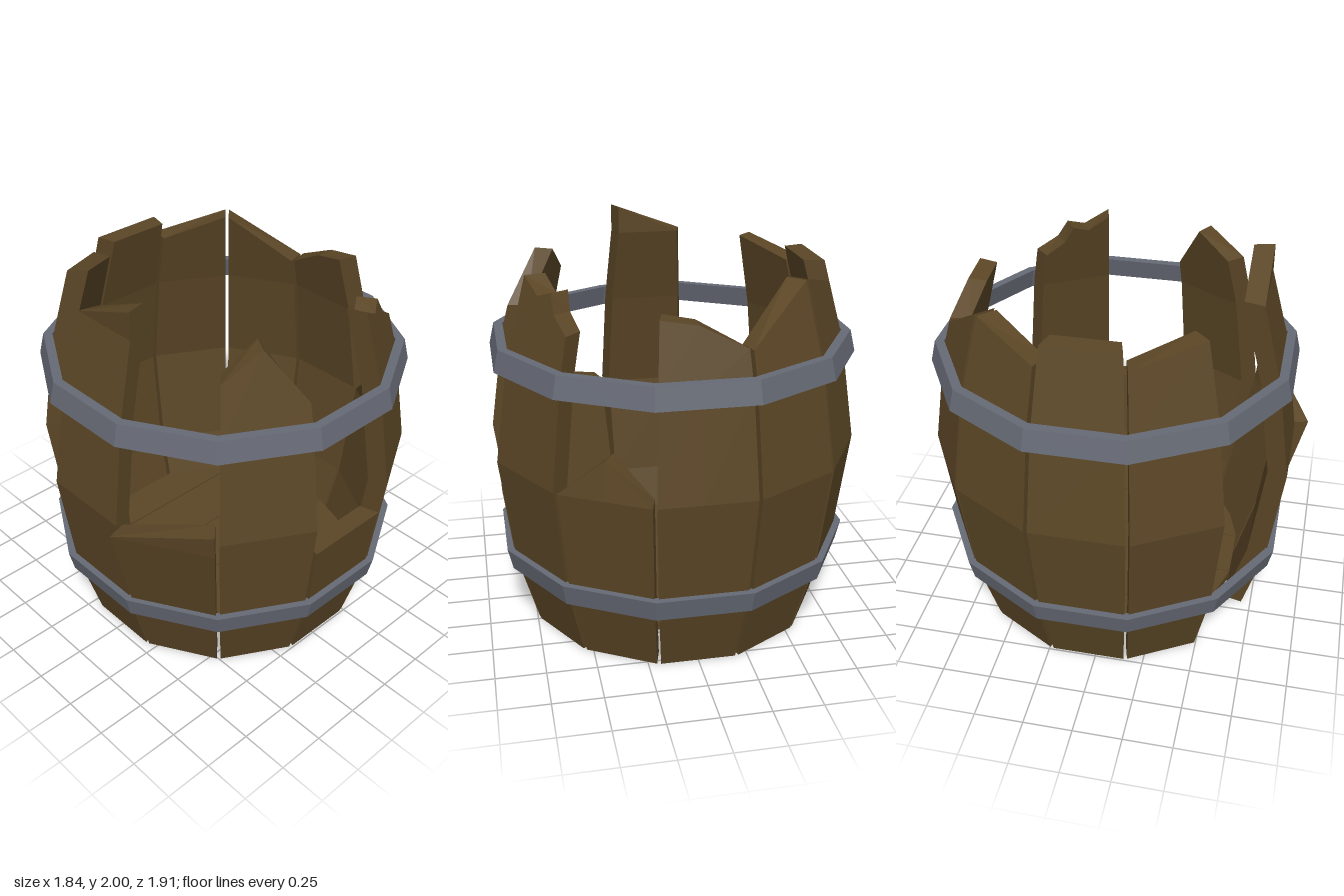
import * as THREE from 'three';

const SIDES = 12;
const STEP = (Math.PI * 2) / SIDES;
const TAN = Math.tan(STEP / 2);
const THICK = 0.1;

// Barrel bulge: [height, distance of the outer face from the axis]
const BULGE = [[0, 0.74], [0.39, 0.85], [0.94, 0.92], [1.46, 0.845], [1.86, 0.74]];
// Stave bent outwards
const BENT = [[0, 0.74], [0.39, 0.85], [0.94, 0.995], [1.07, 1.015]];

// Top edge of each stave as [across -1..1, height]; index 0 faces the front, then towards +x
const TOPS = [
  [[-1, 1.86], [1, 2]],
  [[-1, 0.94], [1, 1.07]],
  [[-1, 1.73], [0, 1.86], [1, 1.6]],
  [[-1, 0.77], [1, 0.77]],
  [[-1, 1.86], [-0.3, 1.79], [0.2, 1.82], [0.45, 1.73], [1, 1.66]],
  [[-1, 0.94], [0, 1.13], [1, 0.94]],
  [[-1, 1.77], [-0.1, 1.74], [1, 1.63]],
  [[-1, 1.62], [1, 1.86]],
  [[-1, 1.86], [1, 1.76]],
  [[-1, 1.86], [1, 1.86]],
  [[-1, 1.78], [1, 1.86]],
  null, // missing stave
];

function radiusAt(profile, y) {
  for (let i = 1; i < profile.length; i++) {
    const [y0, r0] = profile[i - 1], [y1, r1] = profile[i];
    if (y <= y1) return r0 + ((r1 - r0) * (y - y0)) / (y1 - y0);
  }
  return profile[profile.length - 1][1];
}

function flat(geometry) {
  const g = geometry.index ? geometry.toNonIndexed() : geometry;
  g.computeVertexNormals();
  return g;
}

// Curved board with a jagged top, facing +z
function staveGeometry(top, profile) {
  const pos = [];
  const quad = (a, b, c, d) => {
    for (const p of [a, b, c, a, c, d]) pos.push(...p);
  };
  const rows = profile.length; // profile rows, then the broken edge
  const point = (i, j, depth) => {
    const [t, topY] = top[i];
    const y = j === rows ? topY : Math.min(profile[j][0], topY);
    const r = radiusAt(profile, y) - depth;
    return [t * (r * TAN - 0.01), y, r];
  };
  const out = (i, j) => point(i, j, 0);
  const inn = (i, j) => point(i, j, THICK);
  const n = top.length - 1;
  for (let j = 0; j < rows; j++) {
    for (let i = 0; i < n; i++) {
      quad(out(i, j), out(i + 1, j), out(i + 1, j + 1), out(i, j + 1));
      quad(inn(i + 1, j), inn(i, j), inn(i, j + 1), inn(i + 1, j + 1));
    }
    quad(inn(0, j), out(0, j), out(0, j + 1), inn(0, j + 1));
    quad(out(n, j), inn(n, j), inn(n, j + 1), out(n, j + 1));
  }
  for (let i = 0; i < n; i++) {
    quad(out(i, rows), out(i + 1, rows), inn(i + 1, rows), inn(i, rows));
    quad(inn(i, 0), inn(i + 1, 0), out(i + 1, 0), out(i, 0));
  }
  const g = new THREE.BufferGeometry();
  g.setAttribute('position', new THREE.Float32BufferAttribute(pos, 3));
  return flat(g);
}

// Twelve-sided metal ring
function hoopGeometry(y0, r0, y1, r1) {
  const k = 1 / Math.cos(STEP / 2), w = 0.045;
  const pts = [[r0, y0], [r1, y1], [r1 - w, y1], [r0 - w, y0], [r0, y0]]
    .map(([r, y]) => new THREE.Vector2(r * k, y));
  return flat(new THREE.LatheGeometry(pts, SIDES, STEP / 2));
}

// Floor board between x0 and x1, with half lengths z0 and z1 at its edges
function plankGeometry(x0, z0, x1, z1) {
  const shape = new THREE.Shape([[x0, -z0], [x1, -z1], [x1, z1], [x0, z0]]
    .map(([x, z]) => new THREE.Vector2(x, z)));
  const g = new THREE.ExtrudeGeometry(shape, { depth: 0.04, bevelEnabled: false });
  g.rotateX(-Math.PI / 2).translate(0, 0.14, 0);
  return flat(g);
}

export function createModel() {
  const wood = new THREE.MeshStandardMaterial({ color: 0x5b4626 });
  wood.name = 'oldWood';
  const iron = new THREE.MeshStandardMaterial({ color: 0x666a75 });
  iron.name = 'iron';

  const model = new THREE.Group();
  model.name = 'brokenBarrel';
  const barrel = new THREE.Group();
  barrel.name = 'barrel';
  barrel.position.z = -0.04;
  model.add(barrel);

  const add = (geometry, material, name) => {
    const mesh = new THREE.Mesh(geometry, material);
    mesh.name = name;
    barrel.add(mesh);
    return mesh;
  };

  // Staves
  TOPS.forEach((top, k) => {
    if (!top) return;
    const mesh = add(staveGeometry(top, k === 1 ? BENT : BULGE), wood, 'stave' + (k + 1));
    mesh.rotation.y = k * STEP;
  });

  // Floor
  const planks = [
    [-0.66, 0.18, -0.452, 0.5], [-0.444, 0.57, -0.152, 0.66], [-0.146, 0.66, 0.146, 0.66],
    [0.152, 0.66, 0.444, 0.57], [0.452, 0.5, 0.66, 0.18],
  ];
  planks.forEach((p, i) => add(plankGeometry(...p), wood, 'floorPlank' + (i + 1)));

  // Hoops
  add(hoopGeometry(0.33, 0.865, 0.44, 0.89), iron, 'lowerHoop');
  add(hoopGeometry(1.4, 0.905, 1.51, 0.88), iron, 'upperHoop');

  return model;
}
